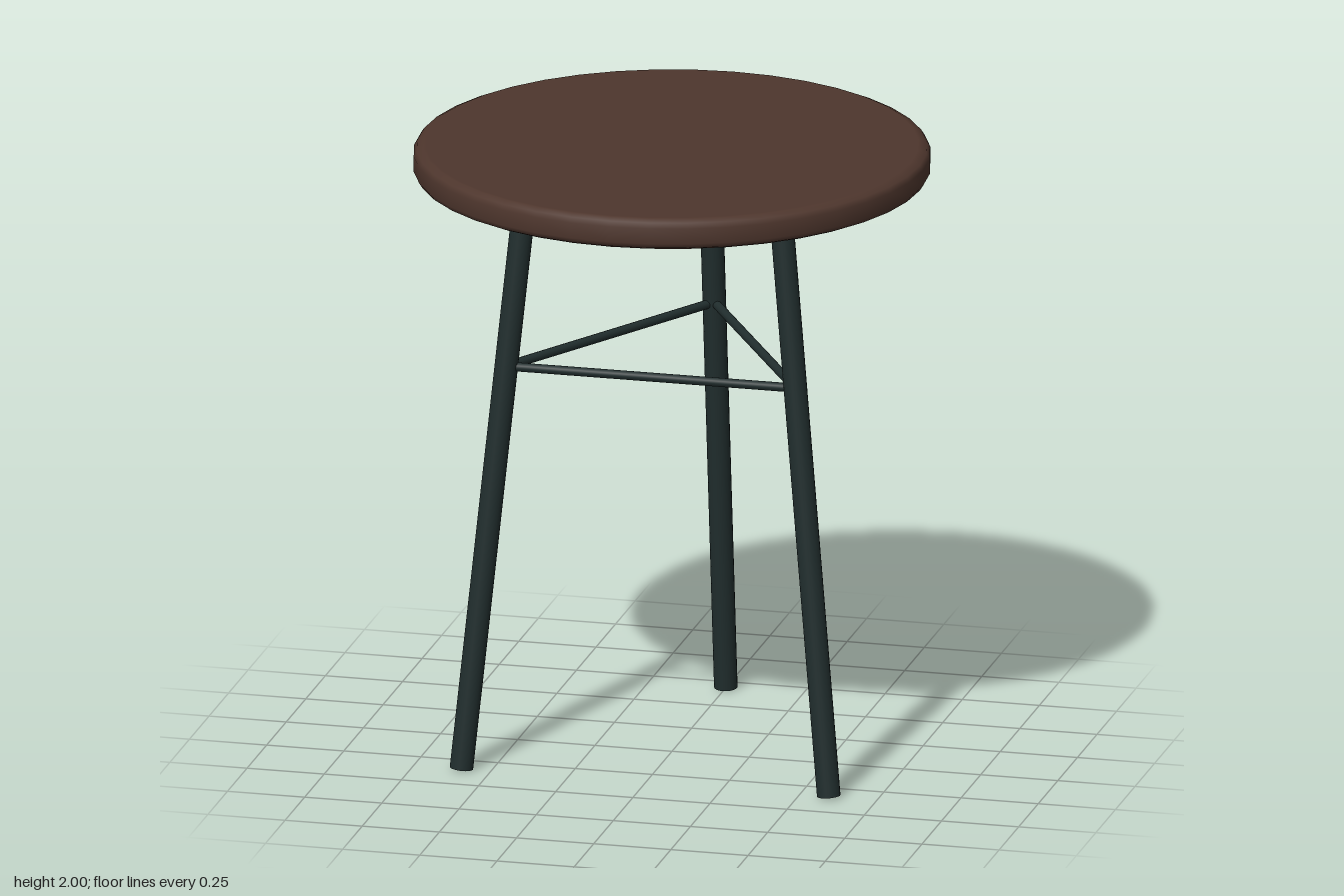
import * as THREE from 'three';

const UP = new THREE.Vector3(0, 1, 0);

// Round bar between two points
function bar(name, a, b, radius, sides, material) {
  const dir = b.clone().sub(a);
  const mesh = new THREE.Mesh(new THREE.CylinderGeometry(radius, radius, dir.length(), sides), material);
  mesh.position.copy(a).lerp(b, 0.5);
  mesh.quaternion.setFromUnitVectors(UP, dir.normalize());
  mesh.name = name;
  return mesh;
}

export function createModel() {
  const group = new THREE.Group();
  group.name = 'stool';
  const wood = new THREE.MeshStandardMaterial({ name: 'dark brown wood', color: 0x4e362d });
  const metal = new THREE.MeshStandardMaterial({ name: 'dark green metal', color: 0x212e2e });

  // Round seat with softened rims
  const profile = [
    [0, 1.9], [0.775, 1.9], [0.783, 1.9], [0.803, 1.909], [0.813, 1.925],
    [0.813, 1.975], [0.803, 1.991], [0.783, 2], [0.775, 2], [0, 2],
  ].map(([r, y]) => new THREE.Vector2(r, y));
  const seat = new THREE.Mesh(new THREE.LatheGeometry(profile, 40), wood);
  seat.name = 'seat';
  group.add(seat);

  // Three splayed legs: left front, right front, back
  const topY = 1.905, footY = 0.005, topR = 0.475, footR = 0.687;
  const angles = [Math.PI / 6, Math.PI * 5 / 6, Math.PI * 3 / 2];
  const legPoint = (angle, y) => {
    const r = THREE.MathUtils.mapLinear(y, footY, topY, footR, topR);
    return new THREE.Vector3(Math.cos(angle) * r, y, Math.sin(angle) * r);
  };
  const legNames = ['leftFrontLeg', 'rightFrontLeg', 'backLeg'];
  const braceNames = ['frontStretcher', 'rightStretcher', 'leftStretcher'];
  angles.forEach((angle, i) => {
    group.add(bar(legNames[i], legPoint(angle, footY), legPoint(angle, topY), 0.037, 20, metal));
    // Thin stretcher to the next leg
    const next = angles[(i + 1) % 3];
    group.add(bar(braceNames[i], legPoint(angle, 1.315), legPoint(next, 1.315), 0.0145, 12, metal));
  });

  return group;
}
